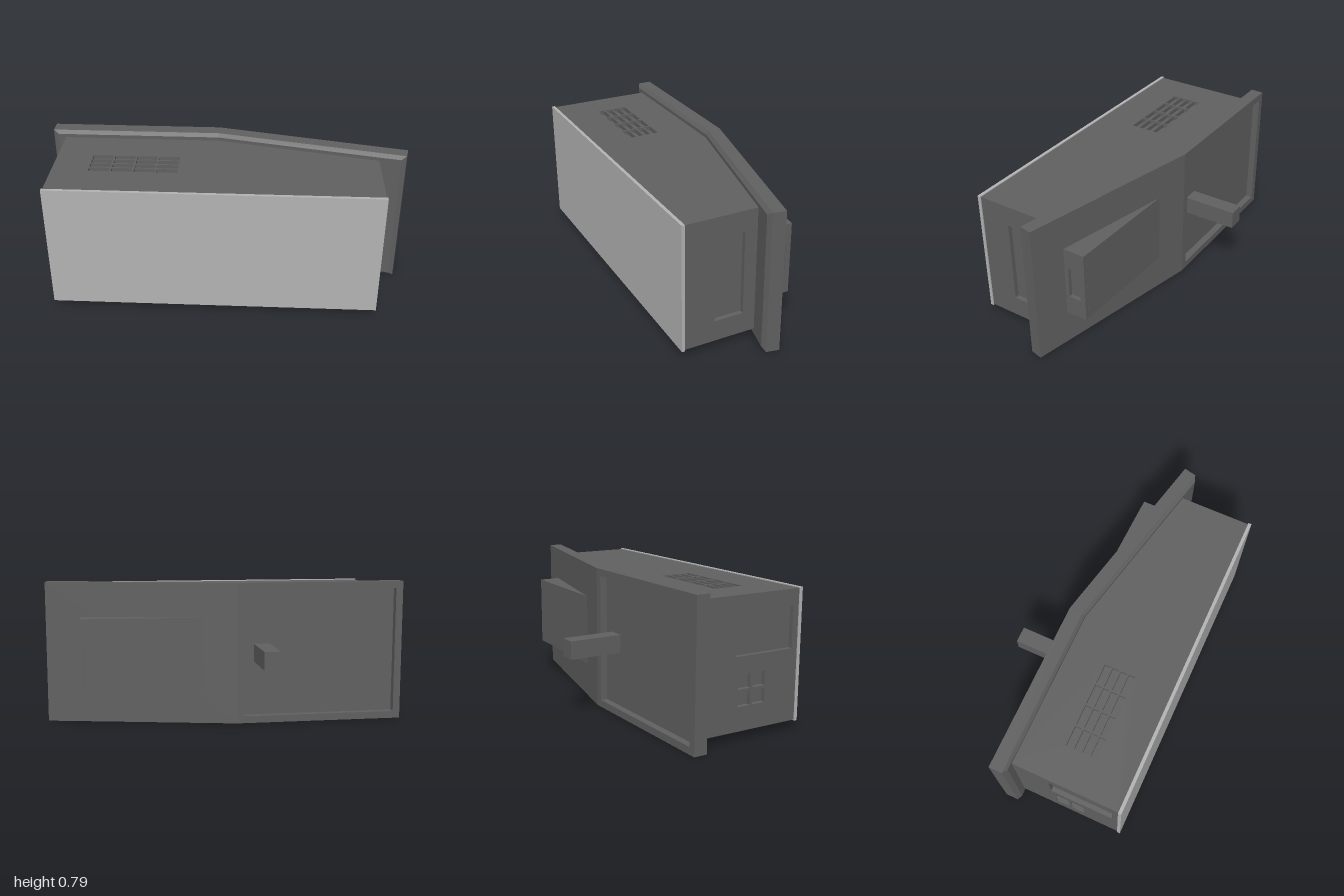
import * as THREE from 'three';

export function createModel() {
  const model = new THREE.Group();
  const darkGrey = new THREE.MeshStandardMaterial({ color: 0x606060 });
  const lightGrey = new THREE.MeshStandardMaterial({ color: 0xb3b3b3 });
  darkGrey.name = 'darkGrey';
  lightGrey.name = 'lightGrey';

  const add = (name, geometry, material = darkGrey) => {
    const mesh = new THREE.Mesh(geometry, material);
    mesh.name = name;
    model.add(mesh);
    return mesh;
  };
  const box = (name, x0, x1, y0, y1, z0, z1, material) =>
    add(name, new THREE.BoxGeometry(x1 - x0, y1 - y0, z1 - z0), material)
      .position.set((x0 + x1) / 2, (y0 + y1) / 2, (z0 + z1) / 2);
  const rect = (u0, u1, v0, v1) => [[u0, v0], [u1, v0], [u1, v1], [u0, v1]];
  const vectors = (points) => points.map(([u, v]) => new THREE.Vector2(u, v));
  const extrude = (outline, holes, depth) => {
    const shape = new THREE.Shape(vectors(outline));
    holes.forEach((h) => shape.holes.push(new THREE.Path(vectors(h))));
    return new THREE.ExtrudeGeometry(shape, { depth, bevelEnabled: false });
  };
  // Outline in x,z filling y0..y1
  const slabXZ = (name, outline, holes, y0, y1) =>
    add(name, extrude(outline, holes, y1 - y0).rotateX(Math.PI / 2).translate(0, y1, 0));
  // Outline in z,y filling x0..x1
  const slabZY = (name, outline, holes, x0, x1) =>
    add(name, extrude(outline, holes, x1 - x0).rotateY(-Math.PI / 2).translate(x1, 0, 0));
  // Grid of rectangular openings
  const grid = (u0, u1, nu, v0, v1, nv, gap) => {
    const cells = [];
    const w = (u1 - u0 - gap * (nu - 1)) / nu;
    const h = (v1 - v0 - gap * (nv - 1)) / nv;
    for (let i = 0; i < nu; i++) {
      for (let j = 0; j < nv; j++) {
        const u = u0 + i * (w + gap), v = v0 + j * (h + gap);
        cells.push(rect(u, u + w, v, v + h));
      }
    }
    return cells;
  };

  // Housing: inner core with cut-out panels around it
  const d = 0.025;
  const plan = (x0, x1) => [[x0, 0.465], [x1, 0.465], [x1, 0.03], [-0.05, -0.16], [x0, -0.16]];
  slabXZ('housingCore', plan(-0.93 + d, 0.84 - d), [], 0.05 + d, 0.75 - d);
  slabXZ('topPanel', plan(-0.93, 0.84), grid(-0.73, -0.25, 4, 0.08, 0.255, 4, 0.01), 0.75 - d, 0.75);
  slabXZ('bottomPanel', plan(-0.93, 0.84),
    [rect(0.3, 0.7, 0.095, 0.285), ...grid(-0.82, -0.27, 2, -0.05, 0.13, 2, 0.015)], 0.05, 0.05 + d);
  slabZY('leftPanel', rect(0.03, 0.465, 0.05 + d, 0.75 - d),
    [rect(0.135, 0.297, 0.167, 0.635)], 0.84 - d, 0.84);
  slabZY('rightPanel', rect(-0.16, 0.465, 0.05 + d, 0.75 - d),
    [rect(0.07, 0.43, 0.44, 0.665), ...grid(0.09, 0.26, 2, 0.18, 0.345, 2, 0.015)], -0.93, -0.93 + d);
  box('frontPlate', -0.935, 0.845, 0.045, 0.755, 0.465, 0.483, lightGrey);

  // Bent back plate from loops, with chamfered front and a sunken rear panel
  const positions = [];
  const quad = (a, b, c, e) => positions.push(...a, ...b, ...c, ...a, ...c, ...e);
  const strip = (a, b) => a.forEach((p, i) => {
    const j = (i + 1) % a.length;
    quad(p, a[j], b[j], b[i]);
  });
  const loop = (line, inset) => [
    ...line.map(([x, z]) => [x, inset, z]),
    ...[...line].reverse().map(([x, z]) => [x, 0.79 - inset, z]),
  ];
  const back = loop([[-1, -0.22], [-0.05, -0.22], [1, 0.01]], 0);
  const middle = loop([[-1, -0.145], [-0.05, -0.145], [0.985, 0.079]], 0);
  const front = loop([[-0.97, -0.13], [-0.05, -0.13], [0.956, 0.091]], 0.02);
  const rim = loop([[-0.96, -0.22], [-0.09, -0.22]], 0.04);
  const floor = loop([[-0.96, -0.18], [-0.09, -0.18]], 0.04);
  strip(back, middle);
  strip(middle, front);
  quad(front[0], front[1], front[4], front[5]);
  quad(front[1], front[2], front[3], front[4]);
  quad(back[1], back[4], back[3], back[2]);
  strip(rim, [back[0], back[1], back[4], back[5]]);
  strip(floor, rim);
  quad(floor[0], floor[3], floor[2], floor[1]);
  const plate = new THREE.BufferGeometry();
  plate.setAttribute('position', new THREE.Float32BufferAttribute(positions, 3));
  plate.computeVertexNormals();
  add('bentBackPlate', plate);

  // Rear wedge with a recessed end face, and the post
  slabXZ('rearWedge', [[0.14, -0.178], [0.79, -0.156], [0.79, -0.03]], [], 0.195, 0.597);
  slabZY('wedgeEnd', rect(-0.155, -0.03, 0.195, 0.597),
    [rect(-0.125, -0.055, 0.308, 0.487)], 0.79, 0.81);
  box('rearPost', -0.24, -0.15, 0.345, 0.445, -0.483, -0.17);

  return model;
}
